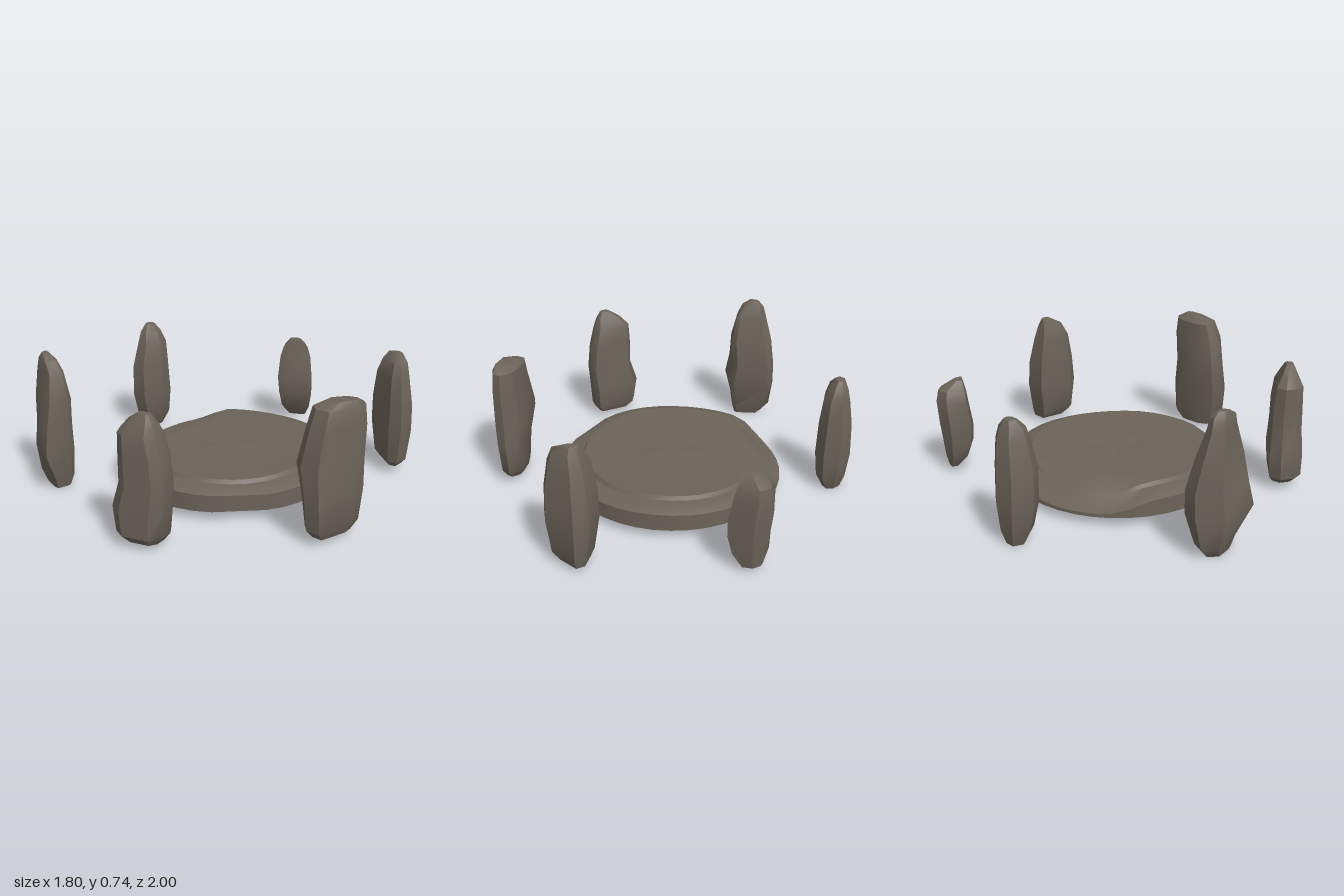
import * as THREE from 'three';
import { toCreasedNormals } from 'three/addons/utils/BufferGeometryUtils.js';

// Skin a stack of equal-length rings of [x, y, z] corners, clockwise seen from above
function skin(rings, capBottom, crease) {
  const n = rings[0].length, pos = rings.flat(2), index = [];
  for (let k = 0; k + 1 < rings.length; k++) {
    for (let i = 0; i < n; i++) {
      const j = (i + 1) % n;
      const a = k * n + i, b = k * n + j, c = b + n, d = a + n;
      index.push(b, a, d, b, d, c);
    }
  }
  const cap = (k, up) => {
    const c = pos.length / 3;
    for (let m = 0; m < 3; m++) pos.push(rings[k].reduce((s, p) => s + p[m], 0) / n);
    for (let i = 0; i < n; i++) {
      const a = k * n + i, b = k * n + (i + 1) % n;
      index.push(...(up ? [b, a, c] : [a, b, c]));
    }
  };
  cap(rings.length - 1, true);
  if (capBottom) cap(0, false);
  const g = new THREE.BufferGeometry();
  g.setAttribute('position', new THREE.Float32BufferAttribute(pos, 3));
  g.setIndex(index);
  return toCreasedNormals(g, crease);
}

// Each stone: plan outline [x, z], then levels [y, xMin, xMax, zMin, zMax] the outline is fitted to
const STONES = {
  frontStone: {
    plan: [[-.17, .88], [-.13, .82], [.12, .82], [.14, .86], [.13, .94], [.08, .99], [-.08, 1], [-.14, .96]],
    levels: [[.03, -.1, .09, .85, .97], [.07, -.15, .12, .83, 1], [.2, -.17, .13, .82, 1], [.33, -.13, .14, .83, .99],
      [.47, -.13, .125, .83, .985], [.58, -.125, .095, .84, .98], [.64, -.07, .075, .87, .95], [.68, -.01, .05, .89, .93]],
  },
  backStone: {
    plan: [[-.08, -.93], [-.03, -1], [.06, -1], [.14, -.89], [.0, -.82], [-.05, -.82]],
    levels: [[.03, -.03, .08, -.96, -.91], [.1, -.07, .12, -.97, -.85], [.2, -.08, .14, -.98, -.815],
      [.3, -.09, .14, -.99, -.81], [.43, -.08, .12, -1, -.83], [.49, -.06, .1, -.99, -.84], [.54, -.01, .07, -.91, -.86]],
  },
  leftFrontStone: {
    plan: [[.64, .45], [.72, .35], [.77, .3], [.86, .29], [.89, .34], [.87, .42], [.77, .58], [.75, .61], [.66, .59], [.62, .53]],
    levels: [[.03, .69, .85, .35, .55], [.08, .67, .88, .31, .6], [.25, .65, .895, .3, .61], [.4, .615, .895, .31, .59],
      [.58, .65, .895, .3, .57], [.68, .67, .885, .31, .53], [.71, .73, .86, .36, .46]],
  },
  leftBackStone: {
    plan: [[.65, -.53], [.74, -.62], [.82, -.62], [.9, -.46], [.87, -.36], [.8, -.37]],
    levels: [[.03, .71, .85, -.59, -.42], [.07, .68, .88, -.6, -.37], [.25, .65, .9, -.62, -.35], [.4, .65, .895, -.61, -.36],
      [.55, .67, .87, -.575, -.38], [.63, .7, .85, -.55, -.42], [.67, .73, .81, -.53, -.49]],
  },
  rightBackStone: {
    plan: [[-.87, -.44], [-.82, -.52], [-.74, -.54], [-.67, -.5], [-.67, -.42], [-.75, -.33], [-.83, -.34]],
    levels: [[0, -.82, -.71, -.5, -.4], [.08, -.85, -.67, -.53, -.36], [.22, -.87, -.66, -.545, -.33], [.4, -.86, -.67, -.54, -.33],
      [.54, -.83, -.68, -.53, -.36], [.61, -.81, -.71, -.51, -.38], [.65, -.79, -.74, -.48, -.42]],
  },
  rightFrontStone: {
    plan: [[-.9, .42], [-.83, .37], [-.68, .51], [-.67, .56], [-.72, .7], [-.78, .67], [-.89, .56]],
    levels: [[0, -.85, -.7, .46, .6], [.06, -.895, -.68, .42, .62], [.22, -.9, -.665, .37, .7], [.35, -.895, -.68, .37, .67],
      [.5, -.89, -.67, .41, .64], [.65, -.865, -.7, .46, .6], [.71, -.85, -.74, .47, .59], [.74, -.83, -.79, .5, .56]],
  },
};

function stoneGeometry({ plan, levels }) {
  const xs = plan.map(p => p[0]), zs = plan.map(p => p[1]);
  const fit = (v, all, lo, hi) => {
    const min = Math.min(...all), max = Math.max(...all);
    return lo + (hi - lo) * (v - min) / (max - min);
  };
  const rings = levels.map(([y, x0, x1, z0, z1]) =>
    plan.map(([x, z]) => [fit(x, xs, x0, x1), y, fit(z, zs, z0, z1)]));
  return skin(rings, true, 0.6);
}

// Worn round slab: outer wall, sloping rim, a small step, then an uneven top; hollow underneath
function slabGeometry() {
  const SIDES = 40;
  // [radius, normal height, height on the worn right-hand side]
  const profile = [[.597, .05, .05], [.597, .14, .07], [.56, .158, .085], [.5, .166, .125], [.487, .185, .135],
    [.4, .183, .178], [.3, .176, .176], [.2, .178, .178], [.1, .178, .178]];
  const rings = profile.map(([r, high, low], k) => Array.from({ length: SIDES }, (_, i) => {
    const t = i / SIDES * Math.PI * 2;
    const worn = THREE.MathUtils.smoothstep(-Math.cos(t - 0.35), 0.72, 0.97);
    // chipped, straightened edge at the front left
    const chip = 0.575 / Math.cos(t - 1.02);
    const radius = k < 3 && Math.abs(t - 1.02) < 0.28 ? Math.min(r, chip - (0.597 - r)) : r;
    const bump = k > 4 ? 0.006 * Math.sin(t * 3 + k) * Math.sin(k * 1.7) : k > 0 ? 0.003 * Math.sin(t * 5) : 0;
    return [radius * Math.cos(t), THREE.MathUtils.lerp(high, low, worn) + bump, radius * Math.sin(t)];
  }));
  return skin(rings, false, 0.6);
}

export function createModel() {
  const model = new THREE.Group();
  model.name = 'stoneCircle';
  const stone = new THREE.MeshStandardMaterial({ color: 0x6b6359 });
  stone.name = 'grey brown stone';
  stone.side = THREE.DoubleSide;

  const add = (name, geometry) => {
    const mesh = new THREE.Mesh(geometry, stone);
    mesh.name = name;
    model.add(mesh);
  };
  add('roundSlab', slabGeometry());
  for (const [name, data] of Object.entries(STONES)) add(name, stoneGeometry(data));
  return model;
}
